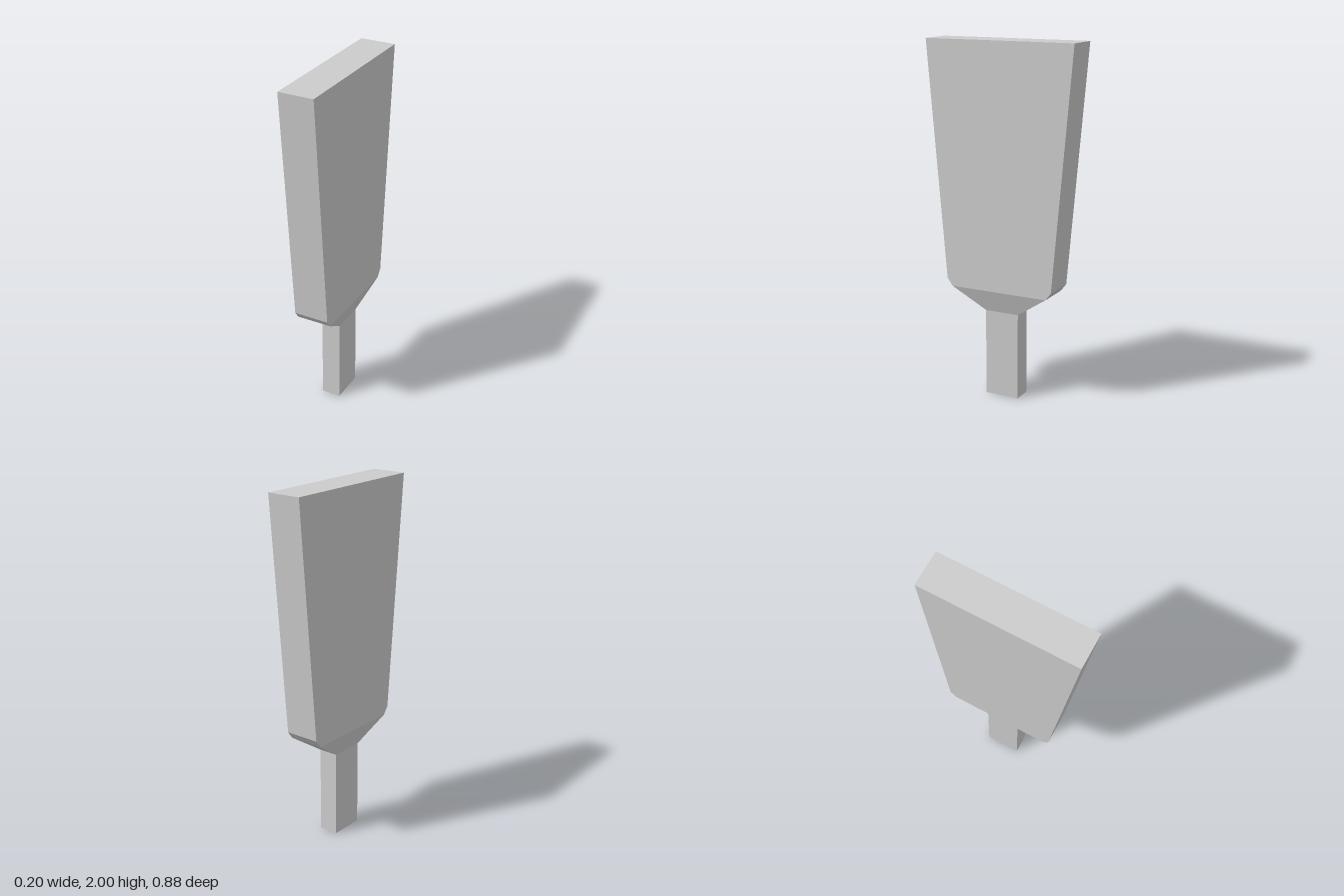
import * as THREE from 'three';

const material = new THREE.MeshStandardMaterial({ color: 0xcccccc, flatShading: true });

// Rectangular cross-sections [y, half width x, half depth z], shared where parts meet
const foot = [0, 0.055, 0.1];
const neck = [0.495, 0.055, 0.1];
const flare = [0.622, 0.1, 0.29];
const heel = [0.665, 0.1, 0.322];
const tip = [2, 0.1, 0.44];

// Four corners, counter-clockwise seen from above
const corners = ([y, x, z]) => [[x, y, z], [x, y, -z], [-x, y, -z], [-x, y, z]];

// Skin the sections from bottom to top, closing only the outer ends
function loft(name, sections, { bottom = false, top = false } = {}) {
  const positions = [];
  const quad = (a, b, c, d) => positions.push(...a, ...b, ...c, ...a, ...c, ...d);
  const rings = sections.map(corners);
  for (let i = 0; i < rings.length - 1; i++) {
    const lower = rings[i], upper = rings[i + 1];
    for (let k = 0; k < 4; k++) {
      const n = (k + 1) % 4;
      quad(lower[k], lower[n], upper[n], upper[k]);
    }
  }
  if (bottom) quad(...[...rings[0]].reverse());
  if (top) quad(...rings[rings.length - 1]);

  const geometry = new THREE.BufferGeometry();
  geometry.setAttribute('position', new THREE.Float32BufferAttribute(positions, 3));
  geometry.computeVertexNormals();
  const mesh = new THREE.Mesh(geometry, material);
  mesh.name = name;
  return mesh;
}

export function createModel() {
  const group = new THREE.Group();
  group.name = 'taperedPaddle';
  group.add(
    loft('stem', [foot, neck], { bottom: true }),
    loft('shoulder', [neck, flare, heel]), // flares out, then chamfers into the blade
    loft('blade', [heel, tip], { top: true }),
  );
  return group;
}
